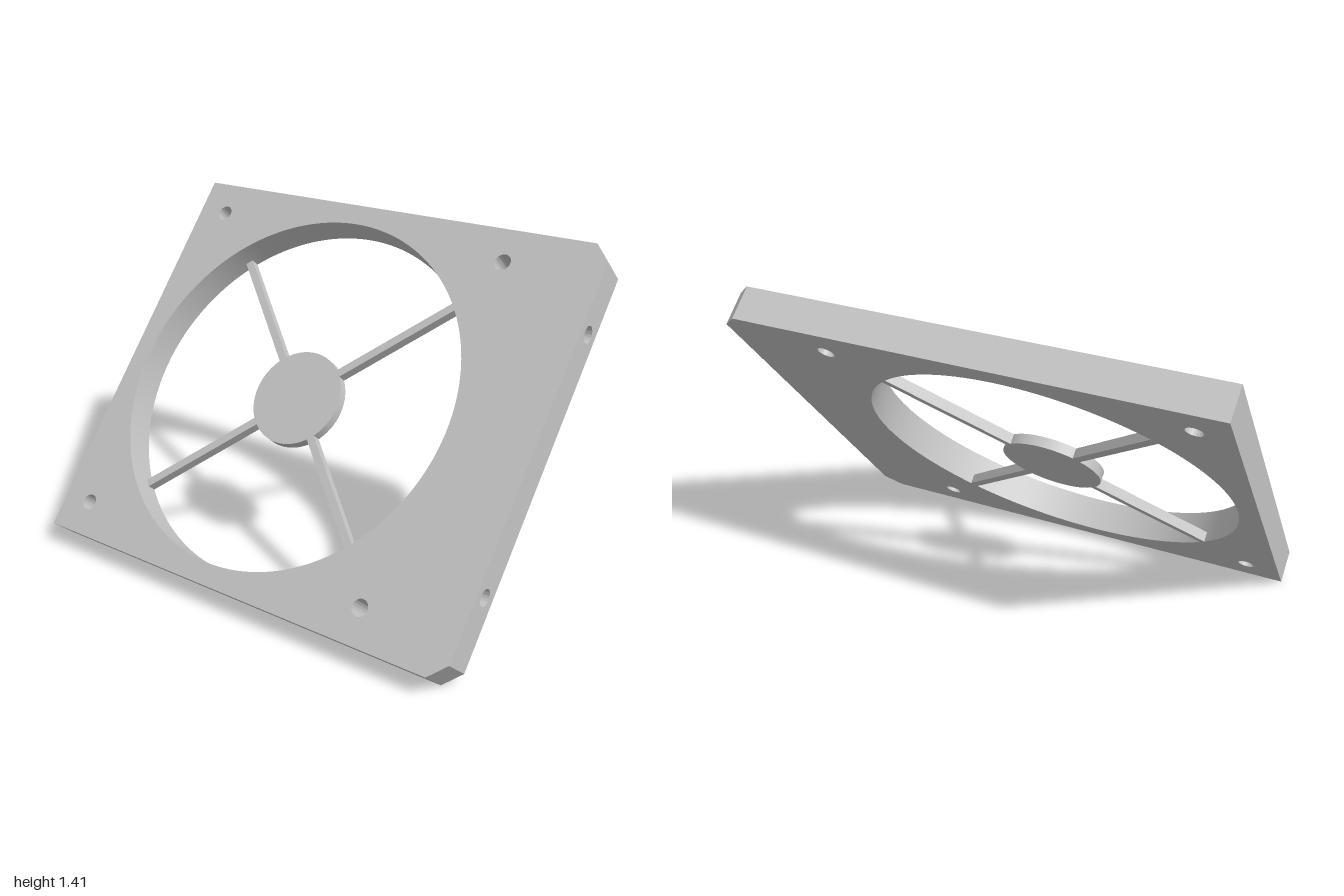
import * as THREE from 'three';
import { toCreasedNormals } from 'three/addons/utils/BufferGeometryUtils.js';

const TILT = THREE.MathUtils.degToRad(40);
const H = 0.864;        // half height of the plate
const T = 0.14;         // plate thickness
const CUT = 0.068;      // corner chamfer
const CX = -0.137;      // centre of the round opening
const RAIL = 0.2;       // depth of the edge rail holding the blind side holes
const SPIDER = 0.043;   // thickness of hub and struts

function polygon(points) {
  return new THREE.Shape(points.map(([x, y]) => new THREE.Vector2(x, y)));
}

function addHole(shape, x, y, r) {
  const hole = new THREE.Path();
  hole.absarc(x, y, r, 0, Math.PI * 2, true);
  shape.holes.push(hole);
}

function extrude(shape, depth, curveSegments) {
  return toCreasedNormals(
    new THREE.ExtrudeGeometry(shape, { depth, curveSegments, bevelEnabled: false }), 0.5);
}

export function createModel() {
  const model = new THREE.Group();
  const grey = new THREE.MeshStandardMaterial({ color: 0xc4c4c4 });
  grey.name = 'light grey';

  const frame = new THREE.Group();
  frame.name = 'tiltedFrame';
  frame.rotation.x = -TILT;
  frame.position.y = H * Math.cos(TILT) + (T / 2) * Math.sin(TILT);
  model.add(frame);

  const add = (name, geometry, parent = frame) => {
    const mesh = new THREE.Mesh(geometry, grey);
    mesh.name = name;
    parent.add(mesh);
    return mesh;
  };

  // Plate with round opening, four screw holes and a notch for the edge rail
  const e = H - CUT;
  const outline = polygon([
    [-1, -H], [1 - CUT, -H], [1, -e], [1 - RAIL, -e],
    [1 - RAIL, e], [1, e], [1 - CUT, H], [-1, H],
  ]);
  addHole(outline, CX, 0, 0.776);
  for (const sx of [-1, 1]) {
    for (const sy of [-1, 1]) addHole(outline, CX + sx * 0.722, sy * 0.722, 0.034);
  }
  add('plate', extrude(outline, T, 96).translate(0, 0, -T / 2));

  // Edge rail with two blind side holes, extruded along x
  const section = polygon([[-T / 2, -e], [T / 2, -e], [T / 2, e], [-T / 2, e]]);
  for (const s of [-1, 1]) addHole(section, 0, s * 0.525, 0.034);
  add('edgeRail', extrude(section, RAIL, 32).rotateY(Math.PI / 2).translate(1 - RAIL, 0, 0));

  // Hub and diagonal struts, flush with the back of the plate
  const spider = new THREE.Group();
  spider.name = 'hubAndStruts';
  spider.position.set(CX, 0, -T / 2 + SPIDER / 2);
  frame.add(spider);
  add('hub', new THREE.CylinderGeometry(0.208, 0.208, SPIDER, 64).rotateX(Math.PI / 2), spider);
  for (let i = 0; i < 4; i++) {
    const strut = new THREE.BoxGeometry(0.585, 0.034, SPIDER).translate(0.4925, 0, 0);
    add('strut', strut, spider).rotation.z = Math.PI / 4 + i * Math.PI / 2;
  }

  return model;
}
